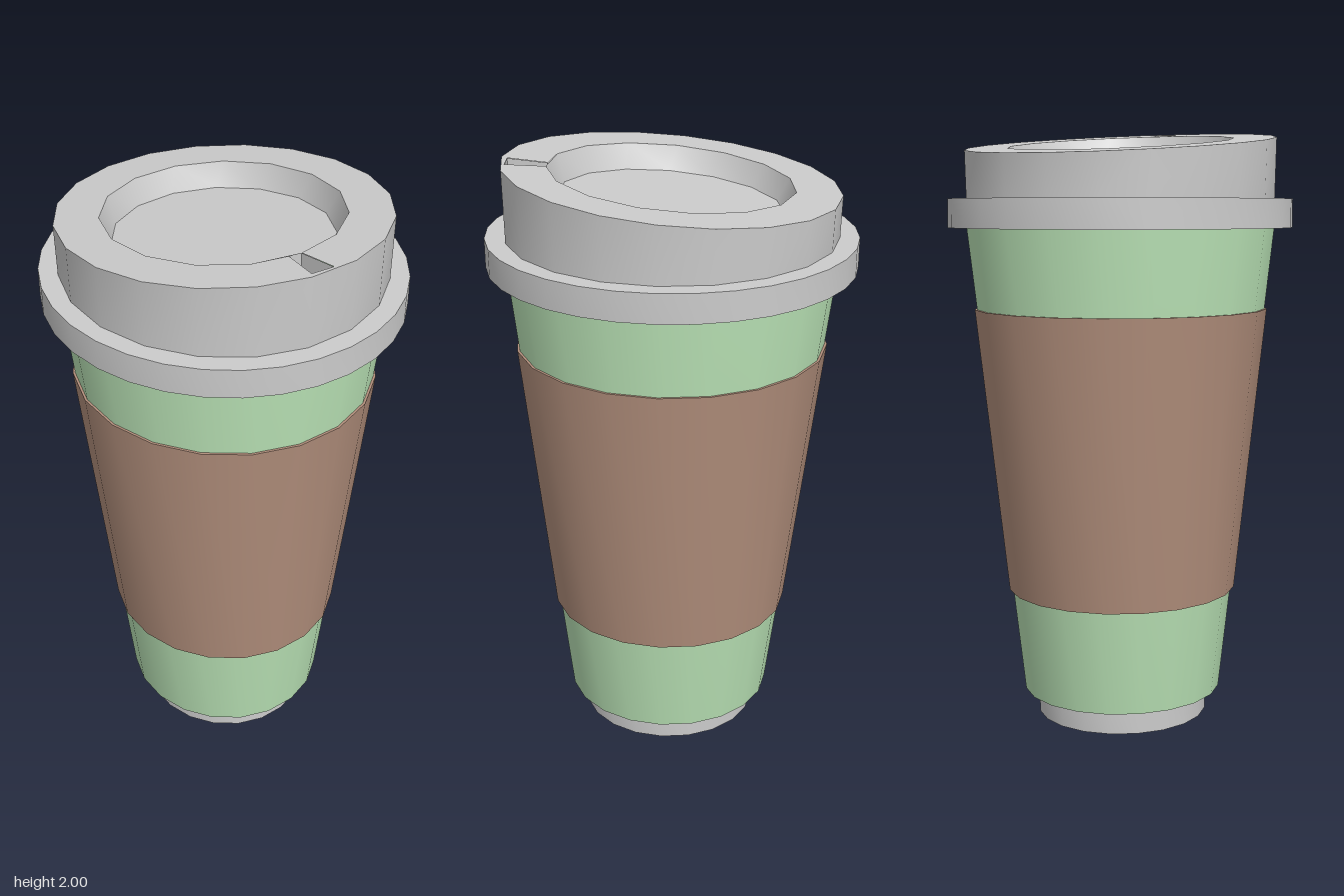
import * as THREE from 'three';
import { toCreasedNormals } from 'three/addons/utils/BufferGeometryUtils.js';

const DEPTH = 1.05; // plan is slightly longer in z than in x
const mat = (color) => new THREE.MeshStandardMaterial({ color, side: THREE.DoubleSide });
const lidY = (z) => 1.95 + 0.093 * z; // sloping lid plane

function part(name, geometry, material) {
  const mesh = new THREE.Mesh(toCreasedNormals(geometry, 0.6), material);
  mesh.name = name;
  return mesh;
}

// Revolved profile, stretched in z and leaning very slightly forward at the foot
function turned(name, profile, sides, material) {
  const g = new THREE.LatheGeometry(profile.map(([r, y]) => new THREE.Vector2(r, y)), sides);
  g.scale(1, 1, DEPTH);
  const p = g.attributes.position;
  for (let i = 0; i < p.count; i++) {
    p.setZ(i, p.getZ(i) + 0.012 * Math.max(0, 1 - p.getY(i) / 1.67));
  }
  return part(name, g, material);
}

// Plan outline as [x, z] points
function ring(r, n, startDeg = 0) {
  return Array.from({ length: n }, (_, i) => {
    const a = THREE.MathUtils.degToRad(startDeg) + (i / n) * Math.PI * 2;
    return [r * Math.sin(a), r * DEPTH * Math.cos(a)];
  });
}

// Lift a plan outline onto the sloping lid plane, lowered by drop
const onLid = (loop, drop = 0) => loop.map(([x, z]) => [x, lidY(z) - drop, z]);

// Wall joining two closed loops of equal length
function wall(name, lower, upper, material) {
  const v = [];
  const n = lower.length;
  for (let i = 0; i < n; i++) {
    const j = (i + 1) % n;
    v.push(...lower[i], ...lower[j], ...upper[j], ...lower[i], ...upper[j], ...upper[i]);
  }
  const g = new THREE.BufferGeometry();
  g.setAttribute('position', new THREE.Float32BufferAttribute(v, 3));
  return part(name, g, material);
}

// Flat panel lying parallel to the lid plane
function panel(name, outline, holes, drop, material) {
  const pts = (loop) => loop.map(([x, z]) => new THREE.Vector2(x, -z));
  const shape = new THREE.Shape(pts(outline));
  for (const h of holes) shape.holes.push(new THREE.Path(pts(h)));
  const g = new THREE.ShapeGeometry(shape);
  g.rotateX(-Math.PI / 2);
  const p = g.attributes.position;
  for (let i = 0; i < p.count; i++) p.setY(i, lidY(p.getZ(i)) - drop);
  g.deleteAttribute('uv');
  return part(name, g, material);
}

export function createModel() {
  const grey = mat(0xcccccc);
  const green = mat(0xb9e2b5);
  const brown = mat(0xb28f7c);
  const drink = mat(0x55251f);
  const model = new THREE.Group();
  model.name = 'takeawayCup';

  // Foot ring with recessed underside
  model.add(turned('foot',
    [[0, 0.07], [0.277, 0.07], [0.277, 0], [0.288, 0], [0.288, 0.1]], 20, grey));

  // Tapered cup body and grip sleeve
  model.add(turned('cupBody',
    [[0.27, 0.085], [0.335, 0.085], [0.51, 1.67], [0.51, 1.75], [0.49, 1.75], [0.33, 0.12], [0, 0.12]], 20, green));
  model.add(turned('sleeve',
    [[0.375, 0.44], [0.386, 0.44], [0.488, 1.4], [0.478, 1.4]], 20, brown));

  // Lid: hollow flange, side wall, sloping top with a sunken centre
  const lid = new THREE.Group();
  lid.name = 'lid';
  lid.add(turned('flange',
    [[0.555, 1.75], [0.555, 1.67], [0.57, 1.67], [0.57, 1.765], [0.49, 1.765]], 32, grey));

  const edge = ring(0.514, 20);
  const foot = ring(0.51, 20).map(([x, z]) => [x, 1.76, z]);
  lid.add(wall('lidWall', foot, onLid(edge), grey));

  const opening = ring(0.375, 15, 8);
  const floor = ring(0.343, 15, 12);
  const slot = [[0.01, 0.39], [0.01, 0.52], [0.085, 0.515], opening[0]];
  lid.add(panel('lidTop', edge, [[...opening, ...slot.slice(0, 3)]], 0, grey));
  lid.add(wall('recessWall', onLid(floor, 0.08), onLid(opening), grey));
  lid.add(panel('recessFloor', floor, [], 0.08, grey));

  // Sipping slot beside the recess, with the drink showing below
  const slotWalls = [...slot].reverse();
  lid.add(wall('slotWall', onLid(slotWalls, 0.12), onLid(slotWalls, 0.001), grey));
  lid.add(panel('drink', slot, [], 0.12, drink));
  model.add(lid);

  return model;
}
